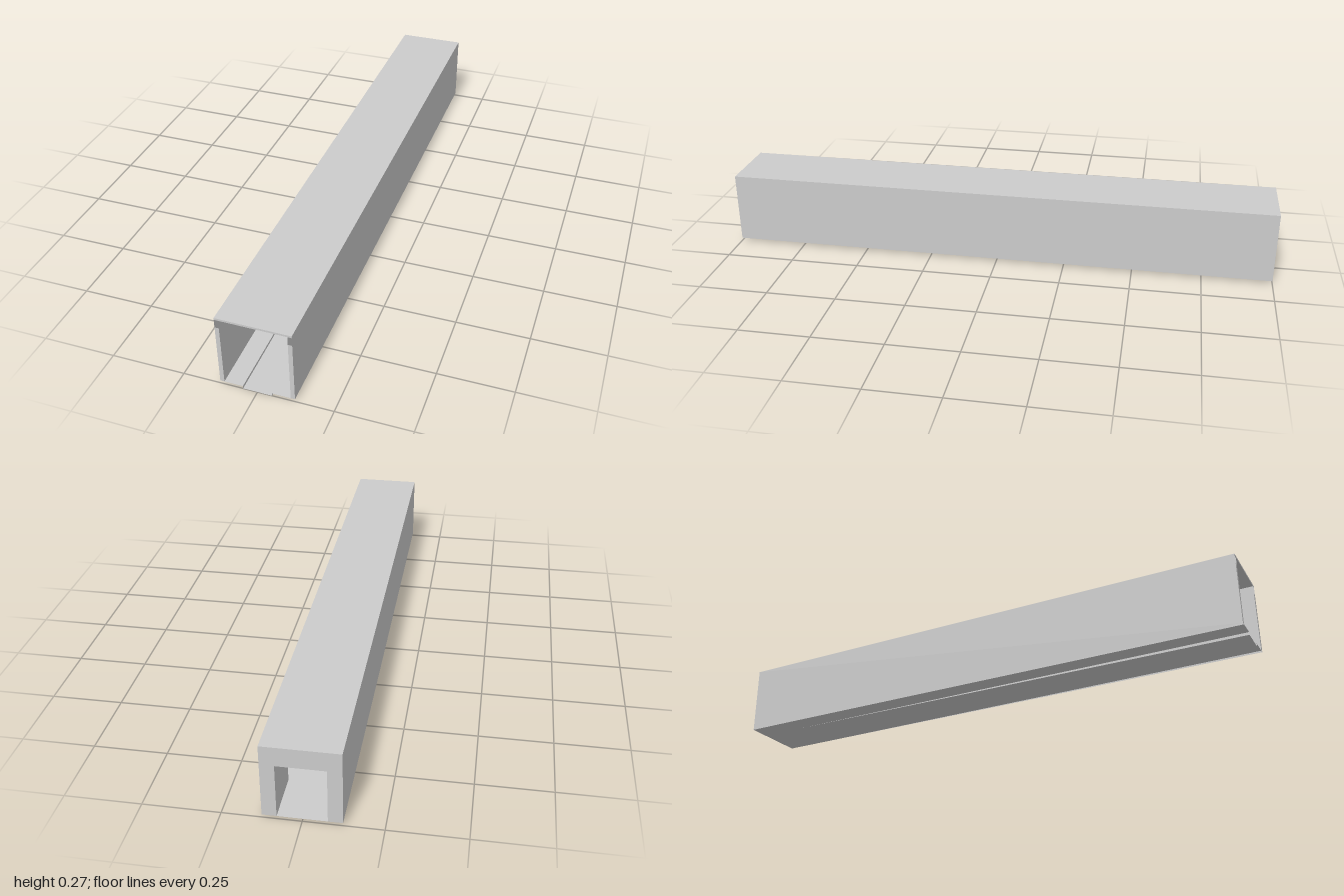
import * as THREE from 'three';

const W = 0.124, IN = 0.11, TOP = 0.267, CEIL = 0.26, FLOOR = 0.01;
const FRONT = 1, BACK = -1, BLOCK = -0.83, SLOT = 0.048;

const material = new THREE.MeshStandardMaterial({
  color: 0xcccccc, flatShading: true, side: THREE.DoubleSide,
});

// One thin panel from its corners, in counter-clockwise order
function panel(name, ...corners) {
  const geometry = new THREE.BufferGeometry();
  geometry.setAttribute('position', new THREE.Float32BufferAttribute(corners.flat(), 3));
  geometry.setIndex(corners.length === 4 ? [0, 1, 2, 0, 2, 3] : [0, 1, 2]);
  geometry.computeVertexNormals();
  const mesh = new THREE.Mesh(geometry, material);
  mesh.name = name;
  return mesh;
}

export function createModel() {
  const model = new THREE.Group();
  model.name = 'tunnelHousing';

  // Outer roof and its front rim
  model.add(panel('roof', [-W, TOP, FRONT], [W, TOP, FRONT], [W, TOP, BACK], [-W, TOP, BACK]));
  model.add(panel('roofRim', [-W, CEIL, FRONT], [W, CEIL, FRONT], [W, TOP, FRONT], [-W, TOP, FRONT]));
  model.add(panel('ceiling', [-IN, CEIL, FRONT], [-W, CEIL, BLOCK], [W, CEIL, BLOCK], [IN, CEIL, FRONT]));

  for (const s of [1, -1]) {
    const side = new THREE.Group();
    side.name = s > 0 ? 'leftSide' : 'rightSide';
    // Straight outer wall, flaring inner wall and the rim joining them
    side.add(panel('outerWall', [s * W, FLOOR, FRONT], [s * W, FLOOR, BACK],
      [s * W, TOP, BACK], [s * W, TOP, FRONT]));
    side.add(panel('innerWall', [s * IN, FLOOR, FRONT], [s * W, FLOOR, BLOCK],
      [s * W, CEIL, BLOCK], [s * IN, CEIL, FRONT]));
    side.add(panel('wallRim', [s * IN, FLOOR, FRONT], [s * W, FLOOR, FRONT],
      [s * W, 0.23, FRONT], [s * IN, 0.23, FRONT]));
    // Floor beside the channel, and the tapering channel side
    side.add(panel('floor', [s * SLOT, FLOOR, FRONT], [s * IN, FLOOR, FRONT],
      [s * W, FLOOR, BLOCK], [s * SLOT, FLOOR, BLOCK]));
    side.add(panel('channelSide', [s * SLOT, 0, FRONT], [s * SLOT, FLOOR, BLOCK],
      [s * SLOT, FLOOR, FRONT]));
    model.add(side);
  }

  // Channel floor ramping up towards the back
  model.add(panel('channelRamp', [-SLOT, 0, FRONT], [SLOT, 0, FRONT],
    [SLOT, FLOOR, BLOCK], [-SLOT, FLOOR, BLOCK]));

  // Thick rear portal with a doorway down to the floor
  const portal = new THREE.Shape([
    [-W, FLOOR], [-0.078, FLOOR], [-0.078, 0.2], [0.078, 0.2],
    [0.078, FLOOR], [W, FLOOR], [W, TOP], [-W, TOP],
  ].map(([x, y]) => new THREE.Vector2(x, y)));
  const rear = new THREE.Mesh(
    new THREE.ExtrudeGeometry(portal, { depth: BLOCK - BACK, bevelEnabled: false }), material);
  rear.name = 'rearPortal';
  rear.position.z = BACK;
  model.add(rear);
  model.add(panel('doorwayFloor', [-W, FLOOR, BLOCK], [W, FLOOR, BLOCK], [W, FLOOR, BACK], [-W, FLOOR, BACK]));

  return model;
}
